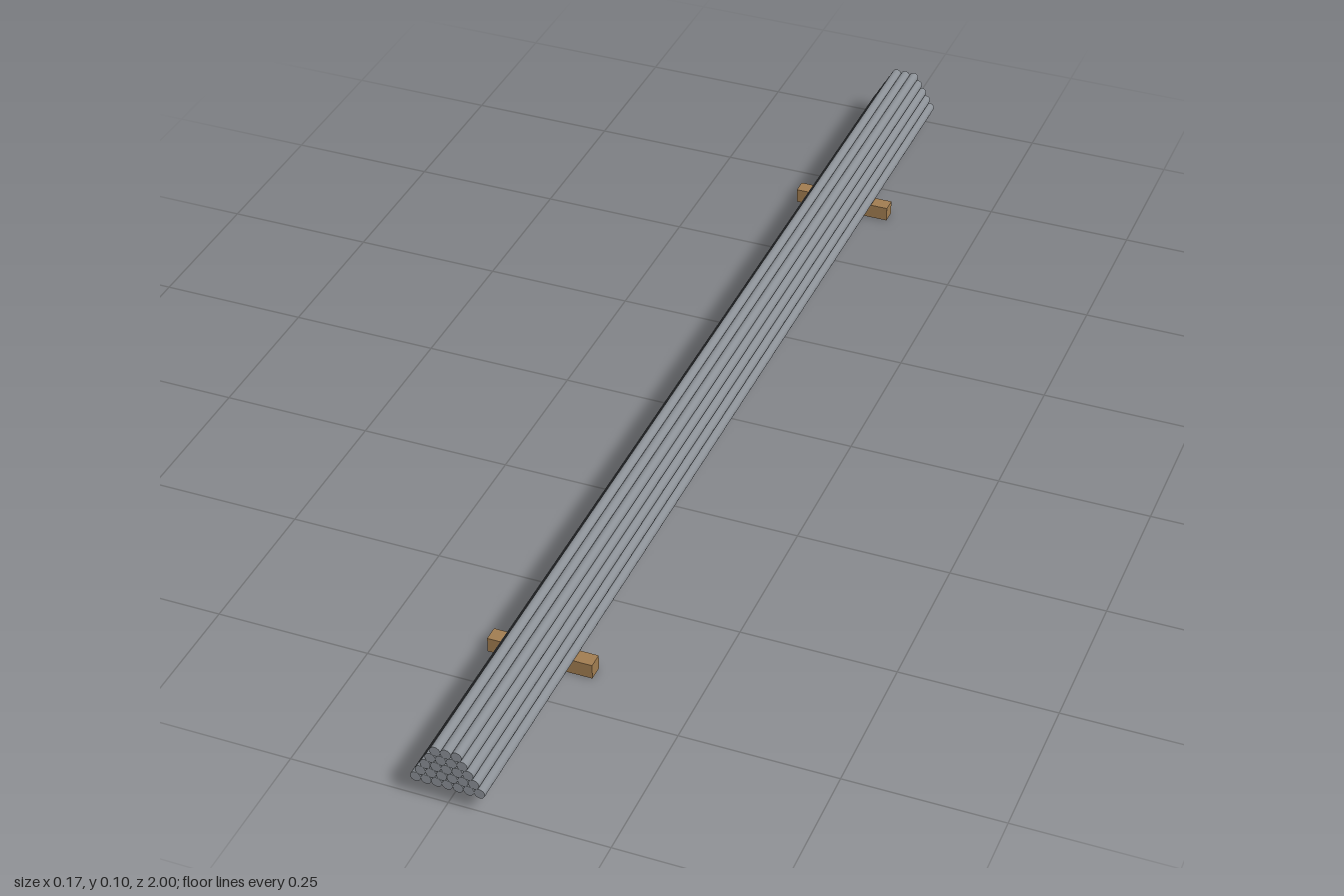
import * as THREE from 'three';

export function createModel() {
  const steel = new THREE.MeshStandardMaterial({ color: 0x8c9197 });
  steel.name = 'steel grey';
  const wood = new THREE.MeshStandardMaterial({ color: 0xa07c50 });
  wood.name = 'timber brown';

  const model = new THREE.Group();
  model.name = 'barStack';

  // Two timber bearers lying across the stack
  const bearerHeight = 0.025;
  const bearerGeometry = new THREE.BoxGeometry(0.17, bearerHeight, 0.025);
  for (const side of [1, -1]) {
    const bearer = new THREE.Mesh(bearerGeometry, wood);
    bearer.name = side > 0 ? 'frontBearer' : 'backBearer';
    bearer.position.set(0, bearerHeight / 2, side * 0.667);
    model.add(bearer);
  }

  // Round bars, closely packed in rows of 7 down to 3
  const radius = 0.0083;
  const barGeometry = new THREE.CylinderGeometry(radius, radius, 2, 16).rotateX(Math.PI / 2);
  const bars = new THREE.Group();
  bars.name = 'bars';
  for (let row = 0; row < 5; row++) {
    const count = 7 - row;
    for (let i = 0; i < count; i++) {
      const bar = new THREE.Mesh(barGeometry, steel);
      bar.name = `barRow${row + 1}Number${i + 1}`;
      bar.position.set(
        (i - (count - 1) / 2) * radius * 2,
        bearerHeight + radius + row * radius * Math.sqrt(3),
        0
      );
      bars.add(bar);
    }
  }
  model.add(bars);
  return model;
}
